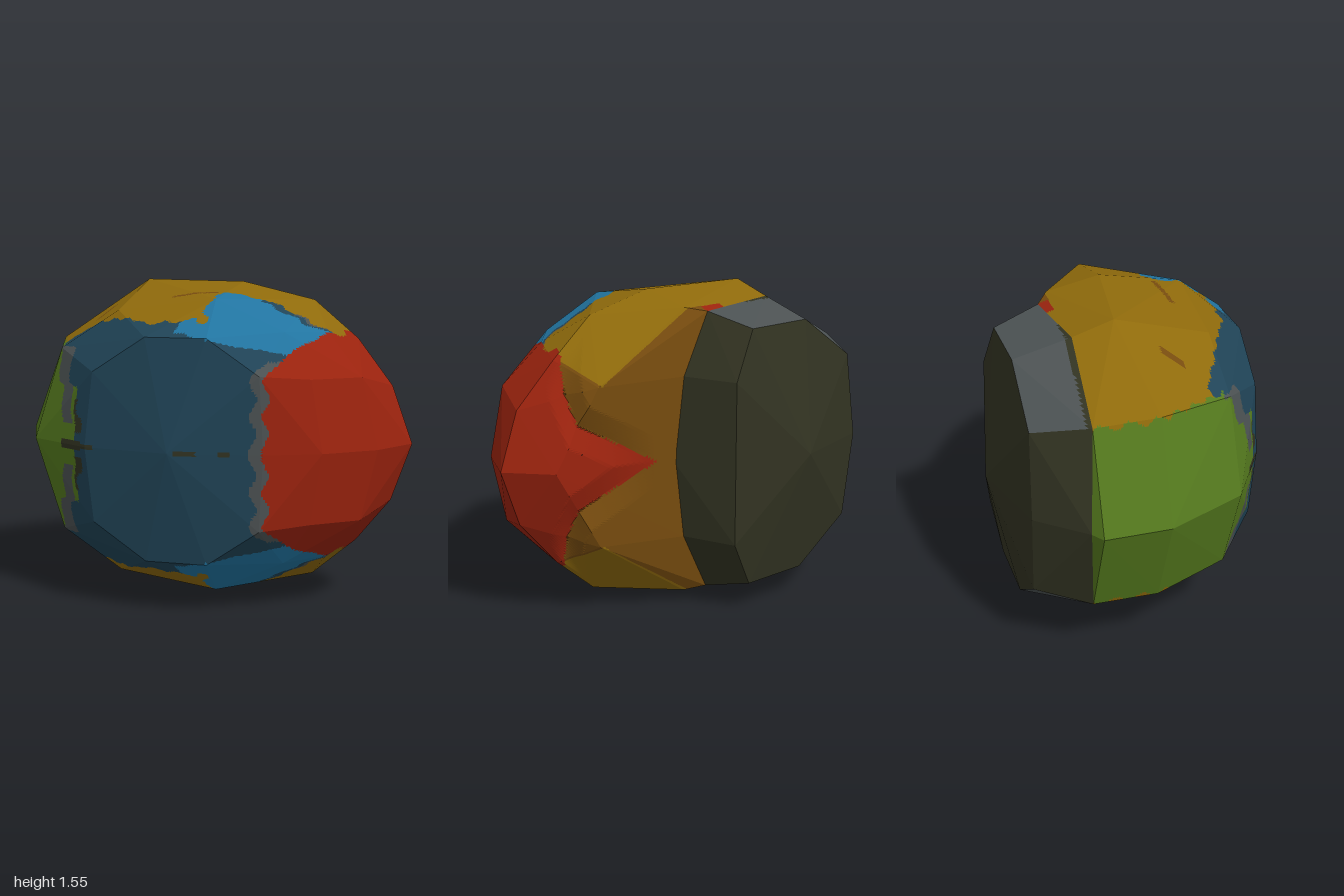
import * as THREE from 'three';
import { ConvexGeometry } from 'three/addons/geometries/ConvexGeometry.js';

const MID = 0.775; // height of the symmetry plane

const COLORS = {
  gold: 0x8f6a0b, brown: 0x764b0e, red: 0x9b230e, green: 0x557a1e,
  brightBlue: 0x2174a0, darkBlue: 0x204457, olive: 0x323322, grey: 0x4c5253,
};

// points are [x, height above the mid plane, z]; each is mirrored below it
function hull(points) {
  const all = [];
  for (const [x, h, z] of points) {
    all.push(new THREE.Vector3(x, MID + h, z));
    if (h) all.push(new THREE.Vector3(x, MID - h, z));
  }
  return new ConvexGeometry(all);
}

// seam where the back lobe grows out of the body
const seam = [[-0.94, 0, -0.36], [-0.82, 0.47, -0.32], [-0.39, 0.712, -0.29],
  [0.05, 0.695, -0.335], [0.20, 0.40, -0.335], [0.25, 0, -0.30]];

const bodyPoints = [
  // front dome
  [-0.03, 0, 0.70], [-0.47, 0, 0.62], [-0.43, 0.36, 0.61], [-0.16, 0.53, 0.63],
  [0.14, 0.53, 0.63], [0.39, 0.36, 0.62], [0.41, 0, 0.62],
  // shoulder ring
  [-0.82, 0, 0.40], [-0.68, 0.45, 0.38], [-0.38, 0.64, 0.38], [0.12, 0.70, 0.41],
  [0.62, 0.54, 0.22], [0.45, 0.55, 0.40],
  // left side
  [-1, 0, 0], [-1, 0, -0.32], [-0.82, 0.475, 0],
  // crown
  [-0.39, 0.775, -0.09], [0.14, 0.77, 0], [0.5, 0.685, 0], [0.14, 0.715, -0.27],
  // right bulge
  [1, 0, 0.05], [0.9, 0.28, 0.05], [0.72, 0.50, 0], [0.88, 0, 0.30], [0.80, 0.34, 0.30],
  [0.66, 0, 0.50], [0.60, 0.34, 0.48], [0.83, 0, -0.15], [0.62, 0.39, -0.21],
  ...seam,
];

// back lobe: cap, rim, seam and a copy of the seam sunk into the body
const rim = [[-0.38, 0.635, -0.57], [-0.02, 0.635, -0.57], [0.11, 0.40, -0.60],
  [-0.69, 0.42, -0.575], [-0.745, 0, -0.585]];
const lobePoints = [[-0.30, 0, -0.70], ...rim, ...seam,
  ...seam.map(([x, h]) => [x * 0.93, h * 0.93, -0.22])];

const wobble = (a, b) => 0.012 * Math.sin(a * 47) + 0.01 * Math.sin(b * 39 + 1);
const between = (v, low, high) => v > low && v < high;

// height of the crease where the red bulge meets the brown back
const creaseHeight = (z) => (z + 0.295) * 1.85;

// shallow valley along that crease
function dent(p) {
  if (p.x < 0.2 || !between(p.z, -0.29, -0.02)) return p;
  const away = Math.abs(Math.abs(p.y - MID) - creaseHeight(p.z));
  const depth = 0.045 * Math.max(0, 1 - away / 0.12) * Math.sin(Math.PI * (p.z + 0.29) / 0.27);
  return new THREE.Vector3(p.x - 0.45 * depth, p.y, p.z + 0.9 * depth);
}

// colour regions of the body
function bodyRegion(p) {
  const h = Math.abs(p.y - MID);
  const w = wobble(p.x + p.z, h);
  const x = p.x + w, z = p.z;

  // left: green with a grey rim and thin dark creases on the mid line
  if (z > 0.35 && p.x < -0.4) {
    if (h < 0.02 && between(p.x, -0.63, -0.5)) return 'olive';
    if (between(h, 0.06, 0.22) && Math.abs(x + 0.525) < 0.012) return 'olive';
    const rimX = -0.575 - 0.16 * h;
    if (between(h, 0.1, 0.46) && Math.abs(x - rimX) < 0.015 + 0.08 * h) return 'grey';
    if (h < 0.46 && x < rimX) return 'green';
    if (h < 0.28 && x < -0.525) return 'green';
  } else if (h < 0.48 && x < -0.82 + 0.45 * Math.max(0, z)) return 'green';
  const creases = [[-0.5, -0.43], [0, 0.1], [0.2, 0.26]];
  if (z > 0.5 && h < 0.012 && creases.some(([l, r]) => between(p.x, l, r))) return 'olive';

  // right: red, with a grey rim in front and brown behind
  const edge = 0.67 - 0.57 * Math.max(0, z - 0.15);
  const top = 0.6 - 0.5 * Math.max(0, 0.17 - z) - 0.4 * Math.max(0, z - 0.2);
  if (z > -0.02) {
    if (h < top + w && x > edge) return 'red';
    if (z > 0.5 && h < 0.42 && x > edge - 0.03) return 'grey';
  } else if (p.x > 0.2) {
    if (h < creaseHeight(z)) return 'red';
    if (h < 0.39 + (z + 0.22) * 0.55) return 'brown';
  }
  if (between(p.x, -0.07, 0.05) && z < -0.285) return 'red';
  if (p.x > 0.04 && z < -0.28 + Math.max(0, 0.71 - h) * 0.2) return 'brown';

  // crown: gold with small brown streaks
  const front = x < 0.1
    ? 0.36 + THREE.MathUtils.clamp((x + 0.5) * 0.5, -0.06, 0.17)
    : 0.25 - 0.12 * (x - 0.1);
  if (z + w < front && h > 0.3) {
    const spot = Math.abs(z - 0.15) < 0.05 && Math.abs(p.x + 0.53 + 0.6 * (z - 0.15)) < 0.016;
    const streak = Math.abs(z - 0.27 + 0.1 * p.x) < 0.012 && between(p.x, -0.14, 0.09);
    return spot || streak ? 'brown' : 'gold';
  }

  // front: bright patch above and below a dark dome
  const past = z + w - front;
  if (x > 0.45 && past < 0.015) return 'grey';
  if (x > 0.3 && past < 0.035) return 'darkBlue';
  if (x > -0.02 && h > 0.55 - 0.21 * Math.max(0, x)) return 'brightBlue';
  return 'darkBlue';
}

// grey plates on the sloping upper and lower faces of the lobe
function lobeRegion(p, n) {
  return Math.abs(n.y) > 0.5 && n.x < 0.3 && p.z < -0.3 + 0.05 * p.x ? 'grey' : 'olive';
}

// cut every facet into small triangles, shape them and sort them by region
function splitByRegion(geometry, region, step, shape) {
  const pos = geometry.attributes.position;
  const lists = {};
  const a = new THREE.Vector3(), b = new THREE.Vector3(), c = new THREE.Vector3();
  for (let t = 0; t < pos.count; t += 3) {
    a.fromBufferAttribute(pos, t);
    b.fromBufferAttribute(pos, t + 1);
    c.fromBufferAttribute(pos, t + 2);
    const normal = new THREE.Triangle(a, b, c).getNormal(new THREE.Vector3());
    const ab = b.clone().sub(a), ac = c.clone().sub(a);
    const n = Math.ceil(Math.max(ab.length(), ac.length(), b.distanceTo(c)) / step);
    const at = (i, j) => a.clone().addScaledVector(ab, i / n).addScaledVector(ac, j / n);
    const add = (...corners) => {
      const mid = new THREE.Vector3();
      for (const v of corners) mid.addScaledVector(v, 1 / 3);
      const list = (lists[region(mid, normal)] ??= []);
      for (const v of corners) list.push(...shape(v));
    };
    for (let i = 0; i < n; i++) {
      for (let j = 0; j < n - i; j++) {
        add(at(i, j), at(i + 1, j), at(i, j + 1));
        if (i + j < n - 1) add(at(i + 1, j), at(i + 1, j + 1), at(i, j + 1));
      }
    }
  }
  return lists;
}

export function createModel() {
  const model = new THREE.Group();
  model.name = 'facetedBlob';

  const materials = {};
  for (const [name, color] of Object.entries(COLORS)) {
    materials[name] = new THREE.MeshStandardMaterial({ color });
    materials[name].name = name;
  }

  const addPart = (name, points, region, step, shape) => {
    const group = new THREE.Group();
    group.name = name;
    const lists = splitByRegion(hull(points), region, step, shape);
    for (const [color, list] of Object.entries(lists)) {
      const geometry = new THREE.BufferGeometry();
      geometry.setAttribute('position', new THREE.Float32BufferAttribute(list, 3));
      geometry.computeVertexNormals(); // unshared corners keep the facets flat
      const mesh = new THREE.Mesh(geometry, materials[color]);
      mesh.name = `${name} ${color} region`;
      group.add(mesh);
    }
    model.add(group);
  };

  addPart('body', bodyPoints, bodyRegion, 0.018, dent);
  addPart('backLobe', lobePoints, lobeRegion, 0.03, (p) => p);
  return model;
}
